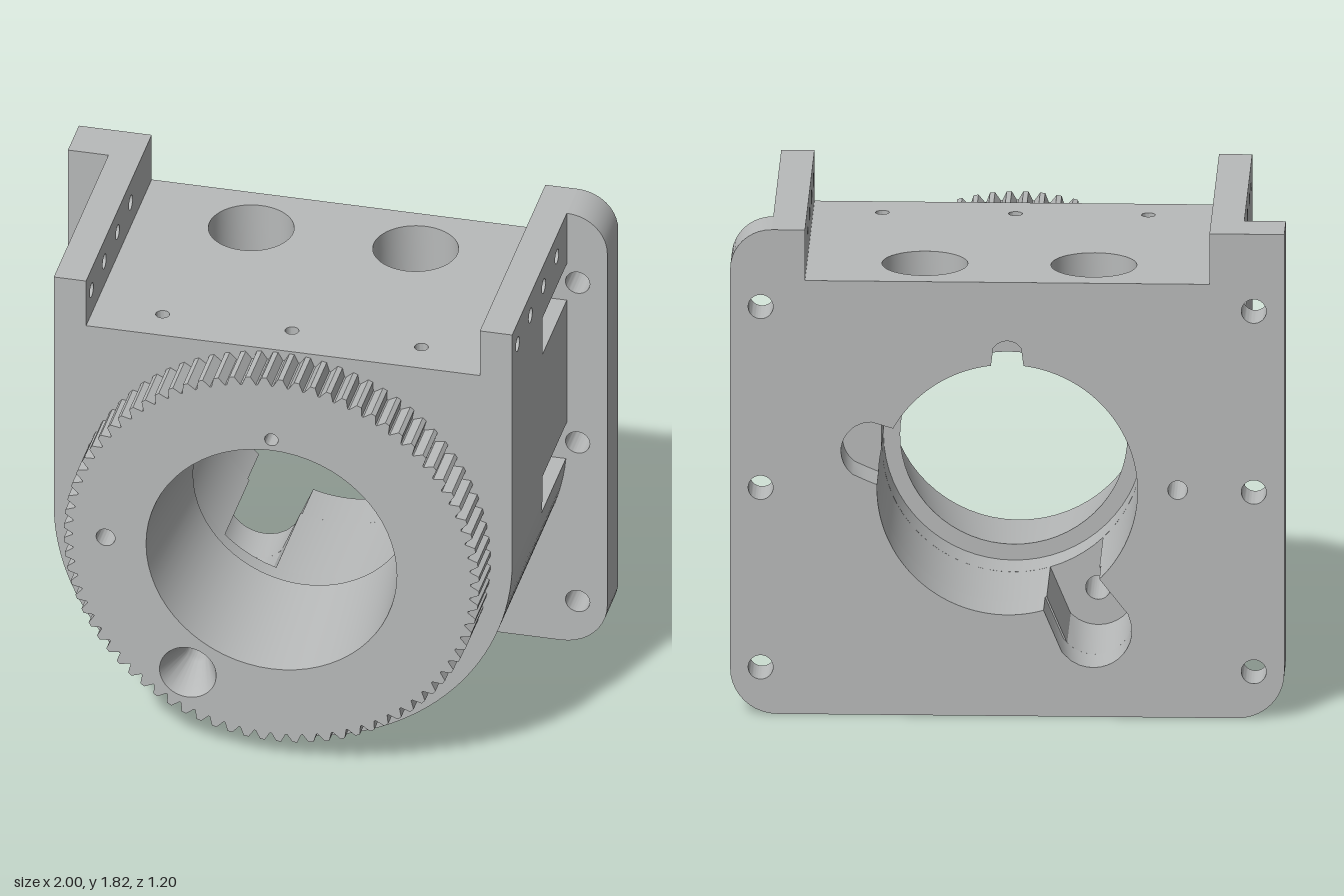
import * as THREE from 'three';
import { toCreasedNormals } from 'three/addons/utils/BufferGeometryUtils.js';

const CY = 0.85;          // height of the bore axis
const DECK = 1.63;        // top deck height
const SEAT = 1.42;        // underside of the deck slab
const BORE = 0.47;

const grey = new THREE.MeshStandardMaterial({ color: 0xb8baba, side: THREE.DoubleSide });
grey.name = 'grey plastic';

const V = (x, y) => new THREE.Vector2(x, y);
const circle = (x, y, r) => new THREE.Path().absarc(x, y, r, 0, Math.PI * 2, true);

function addMesh(group, name, geometry) {
  const mesh = new THREE.Mesh(toCreasedNormals(geometry, 0.5), grey);
  mesh.name = name;
  group.add(mesh);
  return mesh;
}

// Extrude an outline with holes along z from z0 to z1
function slice(points, holes, z0, z1) {
  const shape = new THREE.Shape(points);
  shape.holes.push(...holes);
  const g = new THREE.ExtrudeGeometry(shape, { depth: z1 - z0, bevelEnabled: false, curveSegments: 32 });
  return g.translate(0, 0, z0);
}

// Points of an arc
function arc(cx, cy, r, a0, a1, n) {
  return Array.from({ length: n + 1 }, (_, i) => {
    const a = a0 + (a1 - a0) * i / n;
    return V(cx + r * Math.cos(a), cy + r * Math.sin(a));
  });
}

// Bore outline with round notches [x, y, radius] bulging outwards
function boreArc(a0, a1, n, notches) {
  return Array.from({ length: n + 1 }, (_, i) => {
    const a = a0 + (a1 - a0) * i / n;
    let r = BORE;
    for (const [x, y, q] of notches) {
      const along = x * Math.cos(a) + (y - CY) * Math.sin(a);
      const off = (y - CY) * Math.cos(a) - x * Math.sin(a);
      if (along > 0 && Math.abs(off) < q) r = Math.max(r, along + Math.sqrt(q * q - off * off));
    }
    return V(r * Math.cos(a), CY + r * Math.sin(a));
  });
}

// Outer body outline from right top, round the bottom, to left top
function bodyOutline(pockets) {
  const side = [V(0.73, SEAT), V(0.73, DECK), V(0.85, DECK)];
  if (pockets) {
    side.push(V(0.85, 1.605), V(0.74, 1.605), V(0.74, 1.45), V(0.85, 1.45),
      V(0.85, 0.93), V(0.74, 0.93), V(0.74, 0.775));
  }
  const a = pockets ? 0.088 : 0;
  const bottom = arc(0, CY, 0.85, -a, -Math.PI + a, 64);
  const mirrored = side.map(p => V(-p.x, p.y)).reverse();
  return [...side, ...bottom, ...mirrored];
}

export function createModel() {
  const model = new THREE.Group();
  model.name = 'gearedHousing';
  const pinHole = () => circle(-0.615, 0.855, 0.035);
  const lowNotch = [-0.31, 0.325, 0.14];

  // Front part of the body
  addMesh(model, 'frontBody', slice(bodyOutline(false),
    [circle(0, CY, BORE), pinHole(), circle(-0.31, 0.325, 0.045)], -0.05, 0.42));

  // Middle part with side pockets and two shafts rising from the bore
  const a0 = Math.PI - 0.206, a1 = Math.PI * 2 + 0.206;
  const inner = boreArc(a0, a1, 120, [lowNotch]);
  addMesh(model, 'middleBody', slice(
    [...bodyOutline(true), V(-0.46, SEAT), ...inner, V(0.46, SEAT)],
    [pinHole()], -0.43, -0.05));
  const half = Math.asin(0.15 / BORE);
  addMesh(model, 'shaftDivider', slice(
    [V(0.15, SEAT), V(-0.15, SEAT), ...arc(0, CY, BORE, Math.PI / 2 + half, Math.PI / 2 - half, 10)],
    [], -0.43, -0.05));

  // Mounting flange at the back; one ear is rounded, the other square
  const flange = [
    V(0.73, SEAT), V(0.73, DECK), V(0.85, DECK), V(0.85, 1.82),
    ...arc(0.85, 1.67, 0.15, Math.PI / 2, 0, 10),
    ...arc(0.83, 0.17, 0.17, 0, -Math.PI / 2, 10),
    ...arc(-0.83, 0.17, 0.17, -Math.PI / 2, -Math.PI, 10),
    V(-1, 1.82), V(-0.85, 1.82), V(-0.85, DECK), V(-0.73, DECK), V(-0.73, SEAT),
  ];
  const notchedBore = new THREE.Path(boreArc(0, Math.PI * 2, 200,
    [lowNotch, [0, 1.35, 0.06], [0.49, 0.99, 0.11]]).slice(0, -1));
  const screwHoles = [];
  for (const x of [-0.89, 0.89])
    for (const y of [0.175, 0.85, 1.53]) screwHoles.push(circle(x, y, 0.045));
  addMesh(model, 'mountingFlange', slice(flange, [notchedBore, pinHole(), ...screwHoles], -0.6, -0.43));

  // Top deck slab with two large openings and three small holes
  const deckHoles = [-0.305, 0.305].map(x => circle(x, -0.365, 0.155));
  for (const x of [-0.48, 0, 0.48]) deckHoles.push(circle(x, 0.28, 0.025));
  const deck = slice([V(-0.73, -0.6), V(0.73, -0.6), V(0.73, 0.42), V(-0.73, 0.42)],
    deckHoles, 0, DECK - SEAT);
  addMesh(model, 'topDeck', deck.rotateX(Math.PI / 2).translate(0, DECK, 0));

  // Rails along both sides of the deck, each with four cross holes
  for (const [name, x] of [['leftRail', 0.85], ['rightRail', -0.73]]) {
    const holes = [0.335, 0.135, -0.07, -0.275].map(z => circle(z, 1.73, 0.028));
    const rail = slice([V(-0.6, DECK), V(0.42, DECK), V(0.42, 1.82), V(-0.6, 1.82)], holes, 0, 0.12);
    addMesh(model, name, rail.rotateY(-Math.PI / 2).translate(x, 0, 0));
  }

  // Toothed ring on the front
  const teeth = 80, ring = [];
  for (let i = 0; i < teeth; i++) {
    [[0, 0.738], [0.3, 0.77], [0.6, 0.77], [0.9, 0.738]].forEach(([t, r]) => {
      const a = (i + t) / teeth * Math.PI * 2;
      ring.push(V(r * Math.cos(a), CY + r * Math.sin(a)));
    });
  }
  addMesh(model, 'toothedRing', slice(ring,
    [circle(0, CY, 0.465), pinHole(), circle(-0.31, 0.325, 0.105), circle(0, 1.36, 0.025)], 0.42, 0.6));

  // Tapered bore lining and the countersink of the low screw hole
  const turned = (name, profile, x, y) => {
    const g = new THREE.LatheGeometry(profile.map(p => V(...p)), 64);
    addMesh(model, name, g.rotateX(Math.PI / 2).translate(x, y, 0));
  };
  turned('boreLining', [[0.465, 0.6], [0.41, 0.1], [BORE, 0.1]], 0, CY);
  turned('countersink', [[0.105, 0.6], [0.045, 0.45], [0.045, 0.42]], -0.31, 0.325);

  return model;
}
